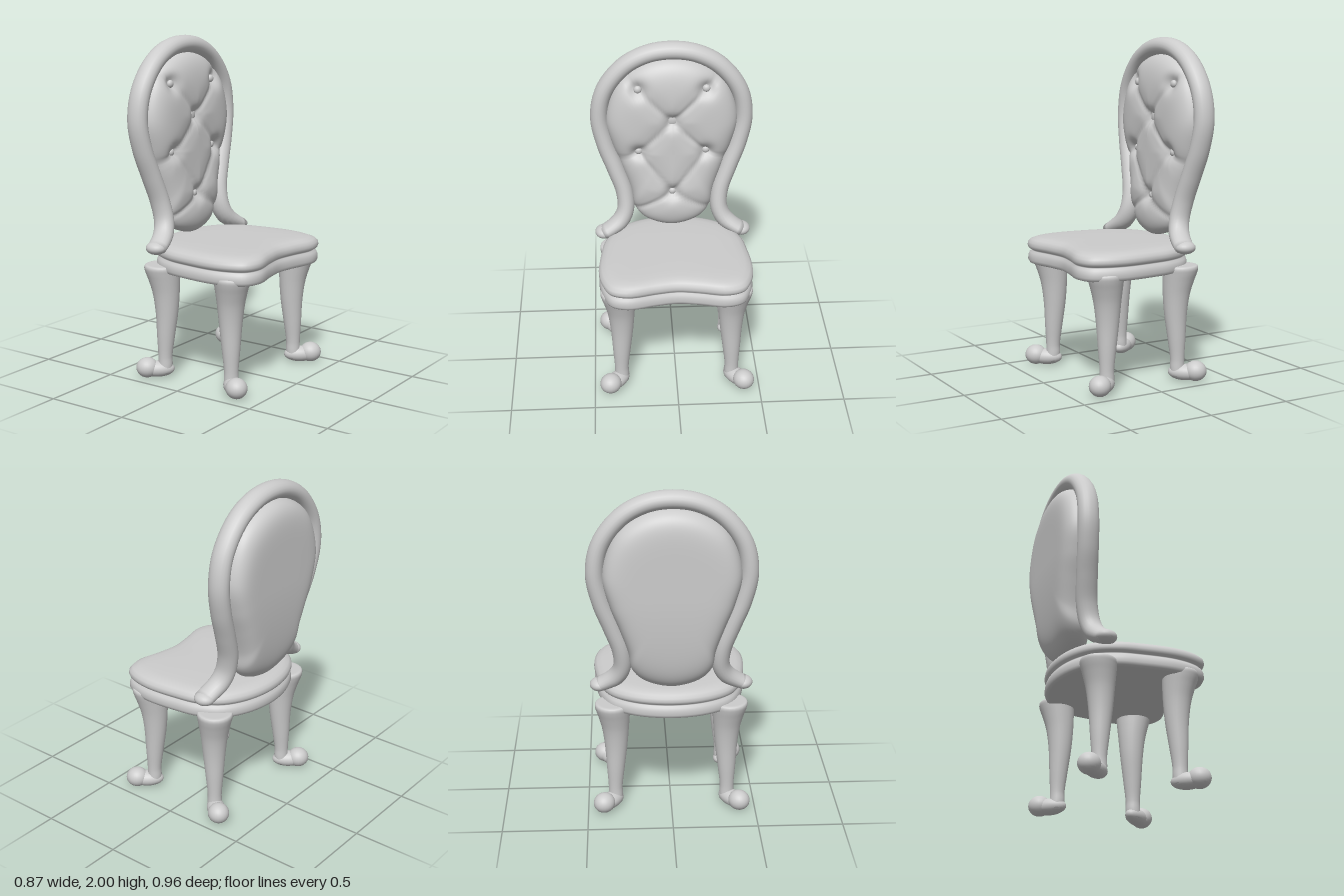
import * as THREE from 'three';

const V = (x, y, z) => new THREE.Vector3(x, y, z);
const material = new THREE.MeshStandardMaterial({ color: 0xcccccc, roughness: 0.7 });

function add(parent, name, geometry) {
  const mesh = new THREE.Mesh(geometry, material);
  mesh.name = name;
  parent.add(mesh);
  return mesh;
}

// Skin a closed solid over rings of equal point count, capped at both ends
function loft(rings) {
  const n = rings[0].length, pos = [], idx = [];
  rings.forEach(r => r.forEach(p => pos.push(p.x, p.y, p.z)));
  for (let i = 0; i < rings.length - 1; i++) {
    for (let j = 0; j < n; j++) {
      const a = i * n + j, b = i * n + (j + 1) % n;
      idx.push(a, b, a + n, b, b + n, a + n);
    }
  }
  const cap = (k, flip) => {
    const c = rings[k].reduce((s, p) => s.add(p), V(0, 0, 0)).divideScalar(n);
    const ci = pos.length / 3;
    pos.push(c.x, c.y, c.z);
    for (let j = 0; j < n; j++) {
      const a = k * n + j, b = k * n + (j + 1) % n;
      if (flip) idx.push(ci, b, a); else idx.push(ci, a, b);
    }
  };
  cap(0, true);
  cap(rings.length - 1, false);
  // Turn all faces outward using the signed volume
  const at = i => V(pos[3 * i], pos[3 * i + 1], pos[3 * i + 2]);
  let volume = 0;
  for (let i = 0; i < idx.length; i += 3) volume += at(idx[i]).dot(at(idx[i + 1]).cross(at(idx[i + 2])));
  if (volume < 0) idx.reverse();
  const g = new THREE.BufferGeometry();
  g.setAttribute('position', new THREE.Float32BufferAttribute(pos, 3));
  g.setIndex(idx);
  g.computeVertexNormals();
  return g;
}

// Closed outline from a half outline [a, z], mirrored in z
function outline(half, count) {
  const mirrored = half.slice(1, -1).reverse().map(([a, z]) => [a, -z]);
  const pts = [...half, ...mirrored].map(([a, z]) => V(a, 0, z));
  return new THREE.CatmullRomCurve3(pts, true, 'centripetal').getPoints(count).slice(0, count);
}

function seat() {
  const shape = outline([[0.385, 0], [0.403, 0.13], [0.435, 0.29], [0.405, 0.385], [0.33, 0.43], [0.2, 0.455],
    [0, 0.44], [-0.13, 0.415], [-0.26, 0.345], [-0.35, 0.2], [-0.385, 0]], 96);
  // Rail, crease and cushion: [height, inset]
  const profile = [[0.65, 0.2], [0.65, 0.03], [0.657, 0.01], [0.675, 0.002], [0.7, 0.004], [0.718, 0.01],
    [0.729, 0.022], [0.735, 0.022], [0.743, 0.006], [0.76, 0], [0.78, 0.003], [0.797, 0.018],
    [0.809, 0.045], [0.815, 0.085], [0.818, 0.16], [0.819, 0.3]];
  return loft(profile.map(([y, inset]) => {
    const s = 1 - inset / 0.43;
    return shape.map(p => V(0.03 + (p.x - 0.03) * s, y, p.z * s));
  }));
}

// Backrest frame: an oval hoop whose two ends flare outward
function frame() {
  const half = [[-0.2, 0.8, 0.425], [-0.21, 0.825, 0.375], [-0.23, 0.87, 0.315], [-0.25, 0.94, 0.284], [-0.273, 1.05, 0.291],
    [-0.293, 1.2, 0.342], [-0.31, 1.36, 0.4], [-0.32, 1.53, 0.43], [-0.32, 1.7, 0.395], [-0.32, 1.85, 0.28], [-0.32, 1.925, 0.145]];
  const pts = [...half, [-0.32, 1.947, 0], ...half.slice().reverse().map(([x, y, z]) => [x, y, -z])];
  const curve = new THREE.CatmullRomCurve3(pts.map(p => V(...p)), false, 'centripetal');
  const rings = [], steps = 120, sides = 20;
  for (let i = 0; i <= steps; i++) {
    const p = curve.getPointAt(i / steps), t = curve.getTangentAt(i / steps);
    const n = t.clone().cross(V(1, 0, 0)).normalize(), b = n.clone().cross(t).normalize();
    const thin = Math.min(1, 0.75 + 0.05 * Math.min(i, steps - i));
    rings.push(Array.from({ length: sides }, (_, k) => {
      const a = k / sides * Math.PI * 2;
      return p.clone().addScaledVector(n, 0.052 * thin * Math.cos(a)).addScaledVector(b, 0.063 * Math.sin(a));
    }));
  }
  return loft(rings);
}

// Buttons [height, z, radius] and the tufting folds between them
const buttons = [[1.73, 0.2, 0.023], [1.73, -0.2, 0.023], [1.53, 0, 0.04], [1.33, 0.2, 0.023], [1.33, -0.2, 0.023], [1.06, 0, 0.022]];
const folds = [[1.73, 0.2, 1.53, 0], [1.53, 0, 1.33, 0.2], [1.33, 0.2, 1.06, 0], [1.06, 0, 0.93, 0.24],
  [1.73, 0.2, 1.82, 0.29], [1.33, 0.2, 1.26, 0.33]];
const spineX = y => -0.32 + 0.06 * Math.max(0, (1.4 - y) / 0.6) ** 2;

function tuft(y, z) {
  const az = Math.abs(z);
  let d = 1, e = 1;
  for (const [y0, z0, y1, z1] of folds) {
    const dy = y1 - y0, dz = z1 - z0;
    const t = THREE.MathUtils.clamp(((y - y0) * dy + (az - z0) * dz) / (dy * dy + dz * dz), 0, 1);
    d = Math.min(d, Math.hypot(y - y0 - t * dy, az - z0 - t * dz));
  }
  for (const [by, bz] of buttons) e = Math.min(e, Math.hypot(y - by, z - bz));
  return 0.01 * Math.exp(-((d / 0.015) ** 2)) + 0.012 * Math.exp(-((d / 0.06) ** 2)) + 0.036 * Math.exp(-((e / 0.045) ** 2));
}

// Backrest pad: tufted on the front, smooth and full on the rear
function pad() {
  const shape = outline([[1.9, 0], [1.865, 0.17], [1.76, 0.31], [1.53, 0.39], [1.35, 0.355], [1.2, 0.3],
    [1.05, 0.25], [0.94, 0.23], [0.865, 0.16], [0.82, 0]], 128);
  const cy = 1.4, steps = 40;
  const ring = (rho, front) => shape.map(p => {
    const y = cy + (p.x - cy) * rho, z = p.z * rho;
    const offset = front
      ? Math.max(0.12 * Math.sqrt(1 - rho ** 5) - tuft(y, z), 0)
      : -0.115 * Math.sqrt(1 - rho ** 9);
    return V(spineX(y) + offset, y, z);
  });
  const rho = i => Math.sin((i / steps) * Math.PI / 2);
  const rings = [];
  for (let i = 1; i <= steps; i++) rings.push(ring(rho(i), true));
  for (let i = steps - 1; i >= 1; i--) rings.push(ring(rho(i), false));
  return loft(rings);
}

// Curved leg ending in a ball foot that points along local +x
function leg() {
  const group = new THREE.Group();
  const sections = [[0.03, 0.005, 0.044], [0.08, 0, 0.043], [0.13, 0, 0.042], [0.25, -0.005, 0.053], [0.4, -0.012, 0.067],
    [0.52, -0.008, 0.08], [0.6, 0.003, 0.093], [0.65, 0.012, 0.102], [0.675, 0.014, 0.105], [0.688, 0.014, 0.1], [0.692, 0.014, 0.085]];
  const curve = new THREE.CatmullRomCurve3(sections.map(s => V(...s)));
  add(group, 'legShaft', loft(curve.getPoints(40).map(s => Array.from({ length: 24 }, (_, k) => {
    const a = k / 24 * Math.PI * 2;
    return V(s.y + s.z * Math.cos(a), s.x, s.z * Math.sin(a));
  }))));
  const sole = add(group, 'footSole', new THREE.SphereGeometry(1, 24, 16));
  sole.scale.set(0.1, 0.048, 0.054);
  sole.position.set(0.045, 0.05, 0);
  const toe = add(group, 'footBall', new THREE.SphereGeometry(1, 24, 16));
  toe.scale.set(0.066, 0.06, 0.063);
  toe.position.set(0.108, 0.06, 0);
  return group;
}

export function createModel() {
  const chair = new THREE.Group();
  chair.name = 'chair';
  add(chair, 'seat', seat());
  add(chair, 'backFrame', frame());
  add(chair, 'backPad', pad());

  for (const [y, z, r] of buttons) {
    const button = add(chair, 'button', new THREE.SphereGeometry(1, 20, 12));
    button.scale.set(0.018, r, r);
    button.position.set(spineX(y) + 0.06, y, z);
  }

  for (const side of [1, -1]) {
    const end = add(chair, side > 0 ? 'leftFrameEnd' : 'rightFrameEnd', new THREE.SphereGeometry(1, 24, 16));
    end.scale.set(0.062, 0.038, 0.055);
    end.position.set(-0.205, 0.803, side * 0.42);
    // Front legs toe forward and out, rear legs backward and out
    for (const front of [1, -1]) {
      const l = leg();
      l.name = front > 0 ? 'frontLeg' : 'backLeg';
      l.position.set(front > 0 ? 0.265 : -0.21, 0, side * 0.335);
      l.rotation.y = -Math.atan2(side * 0.07, front * 0.085);
      chair.add(l);
    }
  }
  return chair;
}
